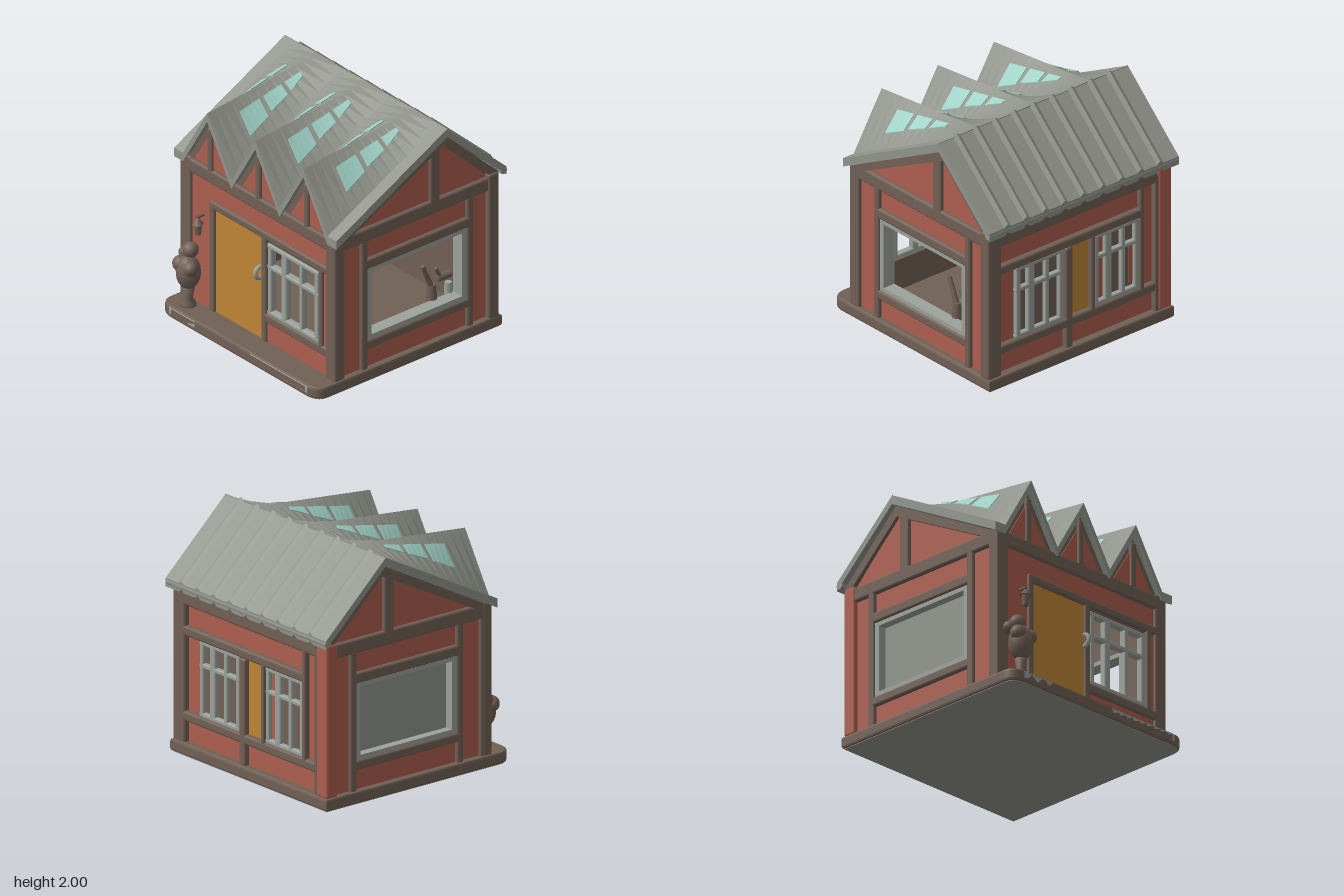
import * as THREE from 'three';
import { RoundedBoxGeometry } from 'three/addons/geometries/RoundedBoxGeometry.js';

const paint = (name, color, extra = {}) => new THREE.MeshStandardMaterial({ name, color, ...extra });
const lerp = THREE.MathUtils.lerp;

export function createModel() {
  const model = new THREE.Group();
  const red = paint('red plaster', 0xae5f50);
  const brown = paint('brown timber', 0x716156);
  const grey = paint('grey roof', 0x92958c);
  const trim = paint('pale trim', 0x9da29c);
  const glass = paint('teal glass', 0xa0d2c7, { side: THREE.DoubleSide });
  const orange = paint('orange door', 0xc08636);

  const add = (name, geo, mat) => {
    const mesh = new THREE.Mesh(geo, mat);
    mesh.name = name;
    model.add(mesh);
    return mesh;
  };

  // A wall face: u runs along x (axis 'z') or z (axis 'x'); d0..d1 is the depth range
  const face = (axis) => ({
    beam(name, mat, u0, u1, y0, y1, d0, d1) {
      const w = u1 - u0, h = y1 - y0, d = d1 - d0;
      const r = Math.min(0.02, w / 3, h / 3, d / 3);
      const geo = axis === 'z' ? new RoundedBoxGeometry(w, h, d, 2, r) : new RoundedBoxGeometry(d, h, w, 2, r);
      const u = (u0 + u1) / 2, y = (y0 + y1) / 2, c = (d0 + d1) / 2;
      add(name, geo, mat).position.set(axis === 'z' ? u : c, y, axis === 'z' ? c : u);
    },
    poly(name, mat, pts, d0, d1, hole) {
      const shape = new THREE.Shape(pts.map(p => new THREE.Vector2(...p)));
      if (hole) {
        const [a, b, c, d] = hole;
        shape.holes.push(new THREE.Path([[a, c], [a, d], [b, d], [b, c]].map(p => new THREE.Vector2(...p))));
      }
      const geo = new THREE.ExtrudeGeometry(shape, { depth: d1 - d0, bevelEnabled: false });
      if (axis === 'x') geo.rotateY(-Math.PI / 2).translate(d1, 0, 0);
      else geo.translate(0, 0, d0);
      add(name, geo, mat);
    },
    rect(name, mat, u0, u1, y0, y1, d0, d1) {
      this.poly(name, mat, [[u0, y0], [u1, y0], [u1, y1], [u0, y1]], d0, d1);
    },
  });

  // Slab over a grid of points P(u, v), dropped by th to give thickness
  const slab = (P, us, vs, th) => {
    const pos = [];
    const low = (p) => [p[0], p[1] - th, p[2]];
    const quad = (a, b, c, d) => pos.push(...a, ...b, ...c, ...a, ...c, ...d);
    const nu = us.length - 1, nv = vs.length - 1;
    for (let i = 0; i < nu; i++) for (let j = 0; j < nv; j++) {
      const a = P(us[i], vs[j]), b = P(us[i], vs[j + 1]), c = P(us[i + 1], vs[j + 1]), d = P(us[i + 1], vs[j]);
      quad(a, b, c, d);
      quad(low(a), low(d), low(c), low(b));
      if (i === 0) quad(a, low(a), low(b), b);
      if (i === nu - 1) quad(c, low(c), low(d), d);
      if (j === 0) quad(d, low(d), low(a), a);
      if (j === nv - 1) quad(b, low(b), low(c), c);
    }
    const geo = new THREE.BufferGeometry();
    geo.setAttribute('position', new THREE.Float32BufferAttribute(pos, 3));
    geo.computeVertexNormals();
    return geo;
  };
  const steps = (a, b, n) => Array.from({ length: n + 1 }, (_, i) => lerp(a, b, i / n));

  // Base with porch, rounded at the porch corners
  const plan = new THREE.Shape();
  plan.moveTo(0.91, -0.93).lineTo(0.91, 0.93).lineTo(-0.83, 0.93);
  plan.quadraticCurveTo(-0.94, 0.93, -0.94, 0.8).lineTo(-0.94, -0.8).quadraticCurveTo(-0.94, -0.93, -0.83, -0.93);
  const base = new THREE.ExtrudeGeometry(plan, { depth: 0.06, bevelThickness: 0.02, bevelSize: 0.015, bevelSegments: 2 });
  add('base', base.rotateX(-Math.PI / 2).translate(0, 0.025, 0), brown);
  const under = new THREE.ExtrudeGeometry(plan, { depth: 0.006, bevelEnabled: false });
  add('underside', under.rotateX(-Math.PI / 2), grey);
  // Pale slabs along the porch edge
  for (const [z0, z1, w] of [[0.12, 0.84, 0.06], [-0.84, -0.5, 0.13]]) {
    const stone = add('porchStone', new RoundedBoxGeometry(w, 0.085, z1 - z0, 2, 0.02), trim);
    stone.position.set(-0.955 + w / 2, 0.062, (z0 + z1) / 2);
  }

  // Front and back walls share a layout
  for (const s of [1, -1]) {
    const f = face('z');
    const D = (a, b) => (s > 0 ? [a, b] : [-b, -a]);
    const core = D(0.82, 0.885), plate = D(0.884, 0.893), proud = D(0.83, 0.925);
    f.poly('gableWall', brown, [[-0.72, 0.05], [0.87, 0.05], [0.87, 1.4], [0.35, 1.89], [-0.72, 1.33]],
      ...core, [-0.4, 0.58, 0.36, 0.97]);
    for (const r of [[-0.65, -0.48, 0.1, 1.23], [0.66, 0.81, 0.1, 1.23], [-0.42, 0.6, 0.1, 0.28], [-0.42, 0.6, 1.06, 1.23]])
      f.rect('plasterPanel', red, ...r, ...plate);
    f.poly('gablePanel', red, [[-0.56, 1.35], [0.23, 1.35], [0.23, 1.78]], ...plate);
    f.poly('gablePanel', red, [[0.31, 1.35], [0.82, 1.35], [0.35, 1.82], [0.31, 1.82]], ...plate);
    for (const b of [[-0.75, -0.65, 0.02, 1.36], [0.81, 0.905, 0.02, 1.4], [-0.48, -0.415, 0.08, 1.26], [0.595, 0.66, 0.08, 1.26],
      [-0.75, 0.905, 0.01, 0.1], [-0.7, 0.86, 1.23, 1.35], [-0.45, 0.63, 0.98, 1.07], [-0.45, 0.63, 0.27, 0.35], [0.22, 0.32, 1.3, 1.84]])
      f.beam('timber', brown, ...b, ...proud);
    f.poly('rafter', brown, [[-0.75, 1.25], [0.35, 1.81], [0.35, 1.9], [-0.75, 1.32]], ...proud);
    f.poly('rafter', brown, [[0.9, 1.29], [0.9, 1.38], [0.35, 1.9], [0.35, 1.8]], ...proud);
    f.poly('windowFrame', trim, [[-0.415, 0.35], [0.595, 0.35], [0.595, 0.98], [-0.415, 0.98]],
      ...D(0.8, 0.91), [-0.37, 0.55, 0.385, 0.945]);
  }
  face('z').rect('backWindowPane', grey, -0.4, 0.58, 0.36, 0.97, -0.84, -0.832);

  // Barred window: trim bars across an opening from u0 to u1
  const bars = (f, u0, u1, d0, d1) => {
    for (const [k, w] of [[0.05, 0.045], [0.32, 0.07], [0.65, 0.04], [0.95, 0.045]]) {
      const u = lerp(u0, u1, k);
      f.beam('windowBar', trim, u - w / 2, u + w / 2, 0.36, 0.98, d0, d1);
    }
    for (const y of [0.375, 0.78, 0.965])
      f.beam('windowRail', trim, Math.min(u0, u1), Math.max(u0, u1), y - 0.02, y + 0.02, d0, d1);
  };

  // Right wall
  const R = face('x');
  R.rect('rightWall', brown, -0.88, 0.88, 0.05, 1.4, 0.78, 0.85);
  for (const r of [[0.14, 0.8, 0.1, 0.28], [-0.78, 0.07, 0.1, 0.28], [-0.62, 0.8, 1.06, 1.23], [0.65, 0.8, 0.36, 0.98],
    [-0.78, -0.66, 0.36, 1.23], [-0.27, -0.2, 0.4, 0.95], [-0.58, -0.54, 0.42, 0.75]])
    R.rect('plasterPanel', red, ...r, 0.849, 0.858);
  R.rect('rightDoorPanel', orange, -0.12, 0.08, 0.36, 0.99, 0.849, 0.858);
  for (const b of [[0.8, 0.94, 0.02, 1.38], [-0.8, 0.94, 1.23, 1.37], [-0.64, 0.84, 0.98, 1.06], [-0.78, 0.84, 0.28, 0.36],
    [-0.93, 0.94, 0.01, 0.1], [0.07, 0.14, 0.08, 0.98], [-0.66, -0.62, 0.3, 1.26], [-0.16, -0.12, 0.34, 1], [-0.81, -0.77, 0.08, 1.3]])
    R.beam('timber', brown, ...b, 0.8, 0.905);
  R.beam('redCornerPost', red, -0.935, -0.805, 0.1, 1.36, 0.8, 0.912);
  bars(R, 0.64, 0.15, 0.84, 0.89);
  bars(R, -0.16, -0.62, 0.84, 0.89);

  // Left wall with three gables, door and open barred window
  const L = face('x'), peaks = [-0.575, 0, 0.575], half = 0.2875;
  const outline = [[-0.88, 0.05], [0.88, 0.05], [0.88, 1.32]];
  for (const p of [...peaks].reverse()) outline.push([p + half - 0.004, 1.33], [p, 1.78], [p - half + 0.004, 1.33]);
  outline.push([-0.88, 1.32]);
  L.poly('leftWall', brown, outline, -0.73, -0.66, [0.1, 0.72, 0.37, 0.98]);
  for (const r of [[-0.8, -0.58, 0.1, 1.23], [-0.58, 0.8, 1.06, 1.23], [0.1, 0.8, 0.1, 0.28], [0.76, 0.82, 0.3, 1.06]])
    L.rect('plasterPanel', red, ...r, -0.738, -0.729);
  L.rect('door', orange, -0.52, 0.04, 0.08, 1.05, -0.738, -0.729);
  for (const b of [[-0.93, -0.8, 0.02, 1.36], [0.81, 0.93, 0.02, 1.36], [-0.86, 0.86, 1.23, 1.35], [-0.58, 0.84, 1.01, 1.08],
    [0.06, 0.84, 0.28, 0.36], [-0.58, -0.52, 0.05, 1.06], [0.04, 0.1, 0.05, 1.06], [0.72, 0.77, 0.3, 1.06]])
    L.beam('timber', brown, ...b, -0.76, -0.67);
  bars(L, 0.1, 0.72, -0.75, -0.69);
  for (const p of peaks) {
    L.poly('dormerPanel', red, [[p - 0.2, 1.36], [p + 0.2, 1.36], [p, 1.68]], -0.738, -0.729);
    L.beam('dormerStud', brown, p - 0.03, p + 0.03, 1.33, 1.72, -0.76, -0.7);
  }

  // Left roof: three dormer folds that flatten out toward the ridge
  const roofPoint = (x, z) => {
    const t = (x + 0.78) / 1.13;
    const fold = Math.max(0, ...peaks.map(p => 1 - Math.abs(z - p) / half));
    const valley = lerp(1.385, 1.975, t);
    return [x, lerp(valley, lerp(1.86, 1.98, t), fold), z];
  };
  const foldZ = [-0.97, ...steps(-3 * half, 3 * half, 6), 0.97];
  add('foldedRoof', slab(roofPoint, steps(-0.78, 0.35, 14), foldZ, 0.075), grey);

  // Dormer skylights
  for (const p of peaks) for (const s of [-1, 1])
    for (const [x0, x1, f0, f1] of [[-0.51, -0.31, 0.7, 0.64], [-0.27, -0.09, 0.6, 0.54], [-0.05, 0.1, 0.52, 0.38]]) {
      const P = (x, v) => {
        const f = lerp(0.25, lerp(f0, f1, (x - x0) / (x1 - x0)), v);
        const q = roofPoint(x, p + s * f * half);
        return [q[0], q[1] + 0.012, q[2]];
      };
      add('skylight', slab(P, steps(x0, x1, 4), [0, 1], 0.008), glass);
    }

  // Right roof slope with raised ribs
  const ribZ = [-0.97];
  for (let k = -4; k <= 4; k++) ribZ.push(k * 0.195 - 0.035, k * 0.195, k * 0.195 + 0.035);
  ribZ.push(0.97);
  const ribbed = (t, j) => [lerp(0.345, 0.95, t), lerp(1.975, 1.42, t) + (j % 3 === 2 ? 0.024 : 0), ribZ[j]];
  add('ribbedRoof', slab(ribbed, [0, 1], ribZ.map((_, j) => j), 0.07), grey);
  const eave = add('rightEave', new THREE.CylinderGeometry(0.03, 0.03, 1.94, 10), grey);
  eave.rotation.x = Math.PI / 2;
  eave.position.set(0.925, 1.39, 0);

  // Lumpy potted shrub by the door
  const lump = (name, r, x, y, z, sy = 1) => {
    const m = add(name, new THREE.SphereGeometry(r, 14, 10), brown);
    m.scale.y = sy;
    m.position.set(x, y, z);
  };
  const stem = [[0, 0.08], [0.07, 0.08], [0.06, 0.13], [0.035, 0.17], [0.05, 0.26], [0, 0.28]];
  add('shrubStem', new THREE.LatheGeometry(stem.map(p => new THREE.Vector2(...p)), 14), brown)
    .position.set(-0.83, 0, -0.74);
  lump('shrub', 0.1, -0.83, 0.4, -0.74, 1.45);
  for (const [r, x, y, z] of [[0.065, -0.86, 0.46, -0.8], [0.06, -0.86, 0.46, -0.68], [0.065, -0.8, 0.58, -0.75], [0.05, -0.79, 0.52, -0.83]])
    lump('shrubLobe', r, x, y, z);

  // Wall lantern and door-side handle
  const post = (name, mat, r0, r1, h, x, y, z, tilt = 0, sides = 8) => {
    const m = add(name, new THREE.CylinderGeometry(r0, r1, h, sides), mat);
    m.rotation.z = tilt;
    m.position.set(x, y, z);
  };
  post('lanternBody', brown, 0.032, 0.025, 0.09, -0.8, 0.8, -0.66, 0, 6);
  post('lanternCap', brown, 0.012, 0.048, 0.05, -0.8, 0.87, -0.66, 0, 6);
  post('lanternArm', brown, 0.012, 0.012, 0.08, -0.77, 0.91, -0.66, Math.PI / 2);
  const handle = add('doorHandle', new THREE.TorusGeometry(0.05, 0.018, 8, 14, Math.PI), trim);
  handle.rotation.z = Math.PI / 2;
  handle.position.set(-0.755, 0.7, 0.03);

  // Small tool stand just inside the front window
  post('standBase', brown, 0.035, 0.045, 0.14, 0.35, 0.44, 0.78);
  post('standLever', brown, 0.018, 0.024, 0.22, 0.3, 0.6, 0.78, 0.4);
  post('standArm', brown, 0.03, 0.03, 0.14, 0.47, 0.54, 0.78, Math.PI / 2);
  post('standGrip', brown, 0.014, 0.02, 0.13, 0.42, 0.58, 0.78, 0.5);
  post('standFoot', trim, 0.03, 0.035, 0.1, 0.52, 0.42, 0.78);
  return model;
}
